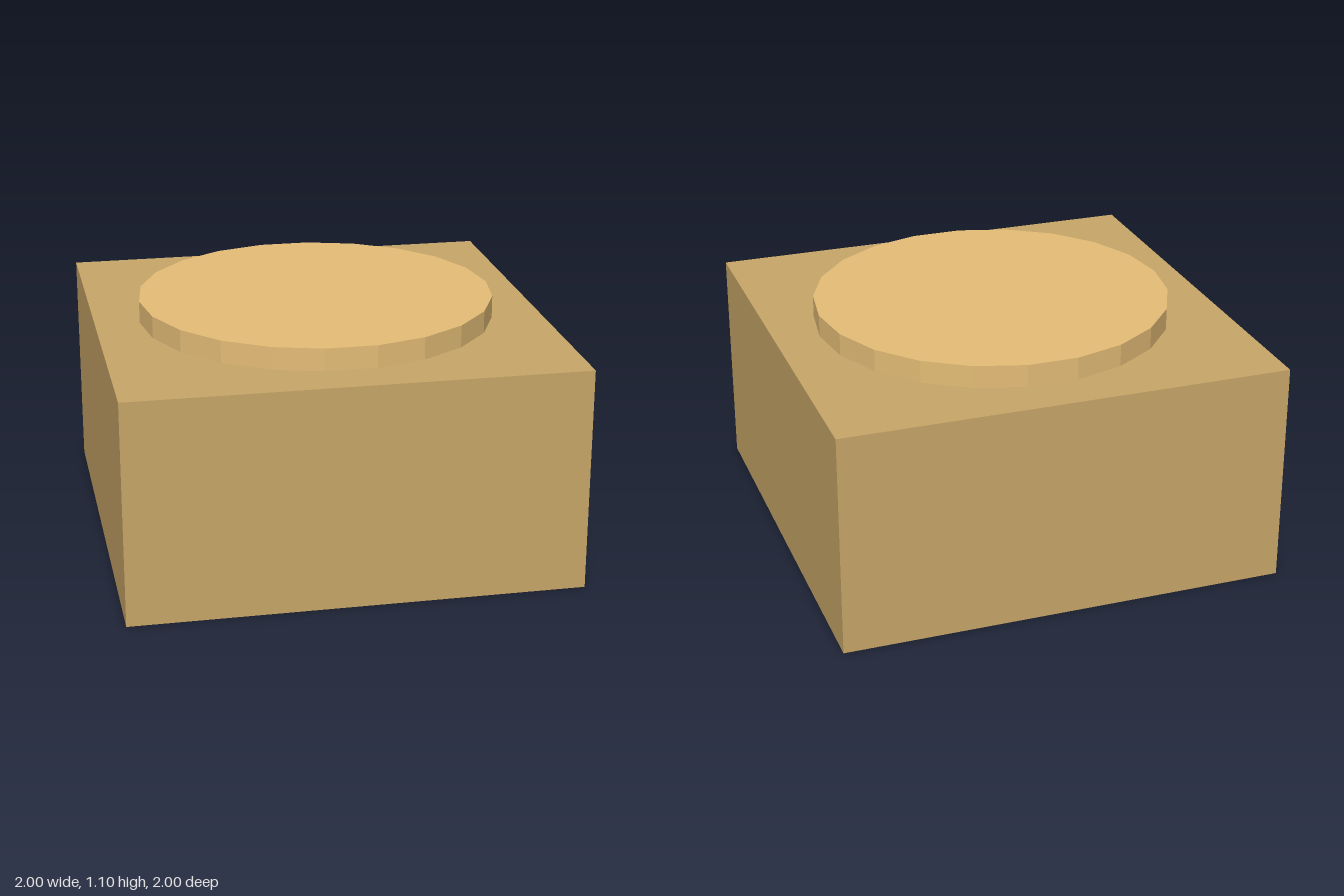
import * as THREE from 'three';

export function createModel() {
  const model = new THREE.Group();

  const addPart = (name, geometry, color, y) => {
    const material = new THREE.MeshStandardMaterial({ color, flatShading: true });
    const mesh = new THREE.Mesh(geometry, material);
    mesh.name = name;
    mesh.position.y = y;
    model.add(mesh);
  };

  // Square block standing on the ground
  addPart('base', new THREE.BoxGeometry(2, 1, 2), 0xc8a668, 0.5);

  // Low 22-sided disc on top, with corners on the x axis
  const disc = new THREE.CylinderGeometry(0.8, 0.8, 0.1, 22, 1, false, Math.PI / 2);
  addPart('topDisc', disc, 0xe5bd77, 1.05);

  return model;
}
